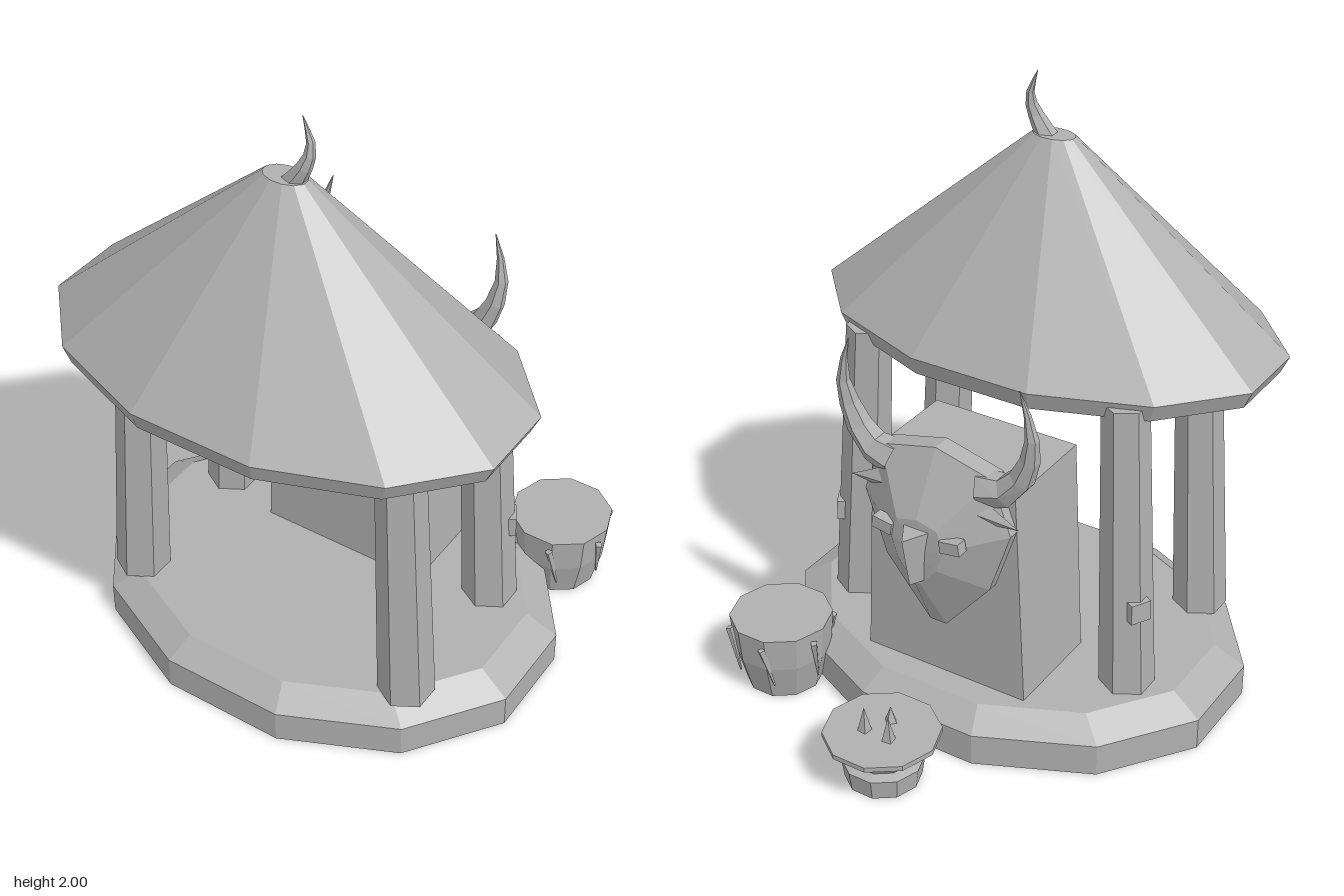
import * as THREE from 'three';

const stone = new THREE.MeshStandardMaterial({ color: 0xb0b0b0, flatShading: true, side: THREE.DoubleSide });
stone.name = 'grey stone';

export function createModel() {
  const group = new THREE.Group();

  const add = (name, geometry, x = 0, y = 0, z = 0) => {
    const mesh = new THREE.Mesh(geometry, stone);
    mesh.name = name;
    mesh.position.set(x, y, z);
    group.add(mesh);
    return mesh;
  };
  // Faceted solid of revolution with flat sides towards +z and -z
  const turned = (profile, sides) => new THREE.LatheGeometry(
    profile.map(([r, y]) => new THREE.Vector2(r, y)), sides, Math.PI / sides);
  // Tapered tube along a curve, ending in a point
  const horn = (points, radius, sides = 6) => {
    const curve = new THREE.CatmullRomCurve3(points.map((p) => new THREE.Vector3(...p)));
    const steps = 6;
    const geometry = new THREE.TubeGeometry(curve, steps, radius, sides);
    const pos = geometry.attributes.position;
    const v = new THREE.Vector3();
    for (let i = 0; i < pos.count; i++) {
      const t = Math.floor(i / (sides + 1)) / steps;
      const centre = curve.getPointAt(t);
      v.fromBufferAttribute(pos, i).sub(centre).multiplyScalar(1 - t * 0.98).add(centre);
      pos.setXYZ(i, v.x, v.y, v.z);
    }
    return geometry;
  };

  // Oval platform, open below
  add('platform', turned([[0.8, 0], [0.8, 0.11], [0.695, 0.172], [0, 0.172]], 12), 0, 0, 0.14)
    .scale.set(1, 1, 0.79);

  // Oval conical roof, open below
  add('roof', turned([[0.772, 1.13], [0.8, 1.19], [0.073, 1.8], [0, 1.8]], 12), 0, 0, 0.337)
    .scale.set(1, 1, 0.638);
  add('roofHorn', horn([[0.02, 1.78, 0.335], [0.065, 1.85, 0.335], [0.08, 1.91, 0.325], [0.05, 2, 0.32]], 0.036));

  // Leaning six-sided posts, with a peg on each rear one
  for (const side of [-1, 1]) {
    for (const [name, z0, z1] of [['frontPost', 0.48, 0.465], ['backPost', -0.03, -0.012]]) {
      const post = new THREE.CylinderGeometry(0.074, 0.09, 1, 6).translate(0, 0.5, 0);
      const pos = post.attributes.position;
      for (let i = 0; i < pos.count; i++) {
        const y = pos.getY(i);
        pos.setX(i, pos.getX(i) - side * 0.05 * y);
        pos.setZ(i, pos.getZ(i) + (z1 - z0) * y);
      }
      add(name, post, side * 0.515, 0.17, z0);
    }
    add('postPeg', new THREE.BoxGeometry(0.04, 0.07, 0.07), side * 0.56, 0.48, -0.06).rotation.y = side * 0.5;
  }

  // Tapered altar block
  const altar = new THREE.BoxGeometry(0.59, 0.75, 0.36);
  const ap = altar.attributes.position;
  for (let i = 0; i < ap.count; i++) if (ap.getY(i) > 0) ap.setX(i, ap.getX(i) * 0.88);
  add('altar', altar, 0, 0.545, -0.12);

  // Horned head on the back of the altar, built from shrinking outlines
  const half = [[0, 1.03], [0.2, 0.98], [0.265, 0.8], [0.19, 0.58], [0.03, 0.39]];
  const outline = [...half, ...half.slice(1).reverse().map(([x, y]) => [-x, y])];
  const rings = [[1, -0.27], [1, -0.335], [0.36, -0.445], [0, -0.455]];
  const n = outline.length;
  const verts = [];
  const index = [];
  rings.forEach(([s, z], r) => outline.forEach(([x, y], i) => {
    verts.push(x * s, 0.72 + (y - 0.72) * s, z);
    if (r === 0) return;
    const j = (i + 1) % n;
    const a = (r - 1) * n + i, b = (r - 1) * n + j, c = r * n + j, d = r * n + i;
    index.push(a, b, c, a, c, d);
  }));
  const head = new THREE.BufferGeometry();
  head.setAttribute('position', new THREE.Float32BufferAttribute(verts, 3));
  head.setIndex(index);
  head.computeVertexNormals();
  add('head', head);

  // Three-sided muzzle, narrow at the bottom
  const muzzle = add('muzzle', new THREE.CylinderGeometry(0.06, 0.035, 0.18, 3, 1, false, Math.PI), 0, 0.71, -0.458);
  muzzle.rotation.x = -0.06;

  for (const s of [-1, 1]) {
    add('horn', horn([[s * 0.16, 0.93, -0.315], [s * 0.25, 0.955, -0.315], [s * 0.315, 1.06, -0.32],
      [s * 0.335, 1.18, -0.335], [s * 0.3, 1.32, -0.345]], 0.062));
    const ear = add('ear', new THREE.ConeGeometry(0.05, 0.16, 4), s * 0.225, 0.86, -0.35);
    ear.rotation.z = -s * 1.75;
    ear.scale.set(1, 1, 0.6);
    add('eye', new THREE.BoxGeometry(0.07, 0.04, 0.04), s * 0.122, 0.775, -0.435).rotation.z = s * 0.15;
  }

  // Drum with slanted pegs around its side
  add('drum', turned([[0, 0], [0.127, 0], [0.16, 0.13], [0.17, 0.25], [0, 0.25]], 10), 0.57, 0, -0.415);
  for (let i = 0; i < 6; i++) {
    const a = (10 + i * 60) * Math.PI / 180;
    const peg = add('drumPeg', new THREE.CylinderGeometry(0.013, 0.003, 0.16, 4),
      0.57 + Math.cos(a) * 0.16, 0.14, -0.415 + Math.sin(a) * 0.16);
    peg.rotation.set(0, -a, -0.14);
    peg.rotateX(0.2);
  }

  // Offering bowl on a stand, holding three spikes
  add('offeringBowl', turned([[0, 0], [0.122, 0], [0.132, 0.07], [0.1, 0.08], [0.112, 0.098],
    [0.187, 0.158], [0.187, 0.175], [0, 0.175]], 10), 0, 0, -0.655);
  for (const [x, z, h] of [[-0.045, -0.685, 0.09], [0.045, -0.685, 0.09], [0, -0.607, 0.06]]) {
    add('spike', new THREE.ConeGeometry(0.023, h, 4), x, 0.172 + h / 2, z).rotation.y = x * 15;
  }

  return group;
}
